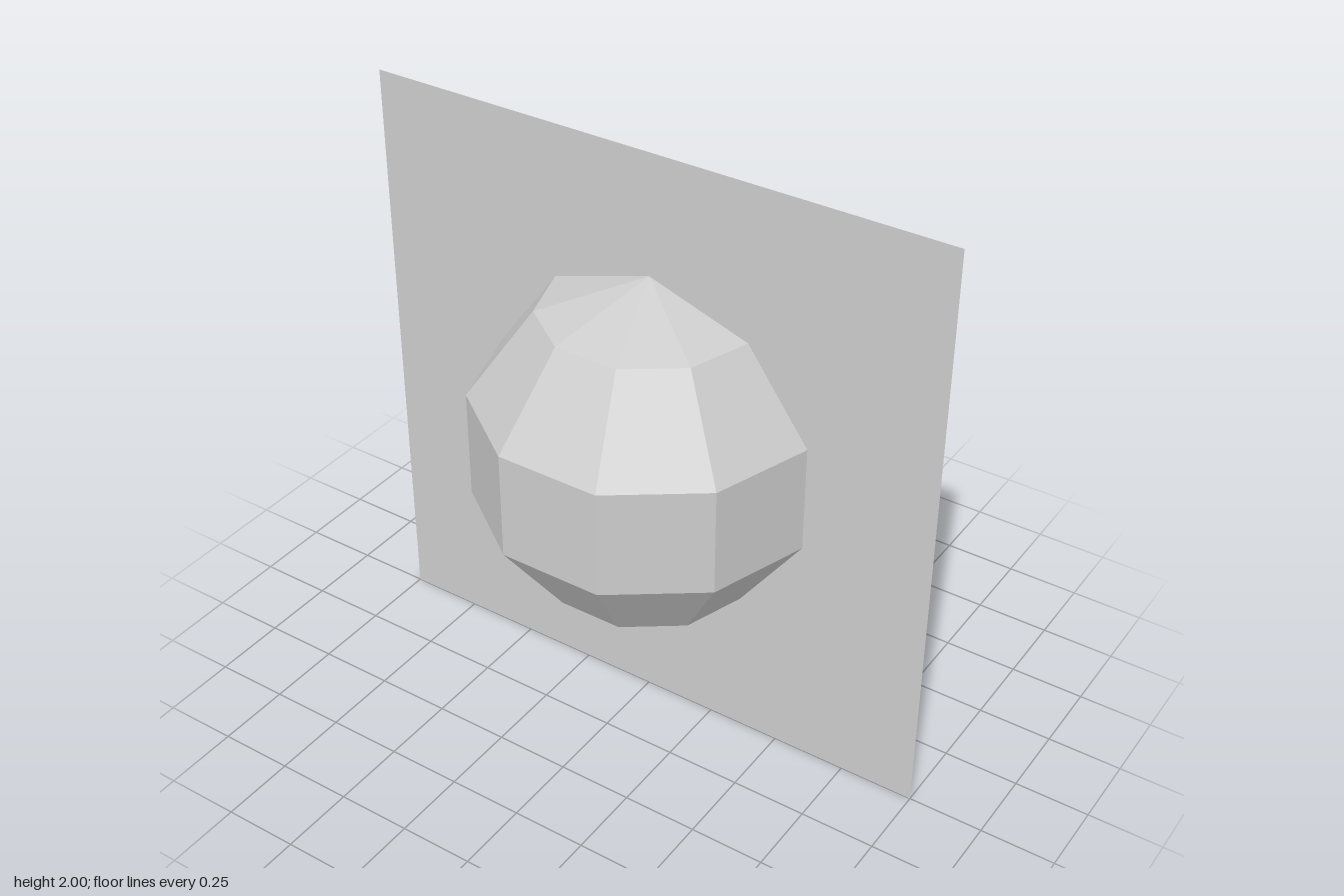
import * as THREE from 'three';

export function createModel() {
  const model = new THREE.Group();
  model.name = 'ballInPanel';

  const grey = new THREE.MeshStandardMaterial({ color: 0xcccccc, flatShading: true, side: THREE.DoubleSide });
  grey.name = 'grey';

  // Faceted ball: ten sides around, five bands from pole to pole
  const ball = new THREE.Mesh(new THREE.SphereGeometry(0.592, 10, 5), grey);
  ball.name = 'ball';
  ball.position.y = 1;

  // Thin upright square panel cutting through the middle of the ball
  const panel = new THREE.Mesh(new THREE.PlaneGeometry(2, 2), grey);
  panel.name = 'panel';
  panel.position.y = 1;

  model.add(ball, panel);
  return model;
}
